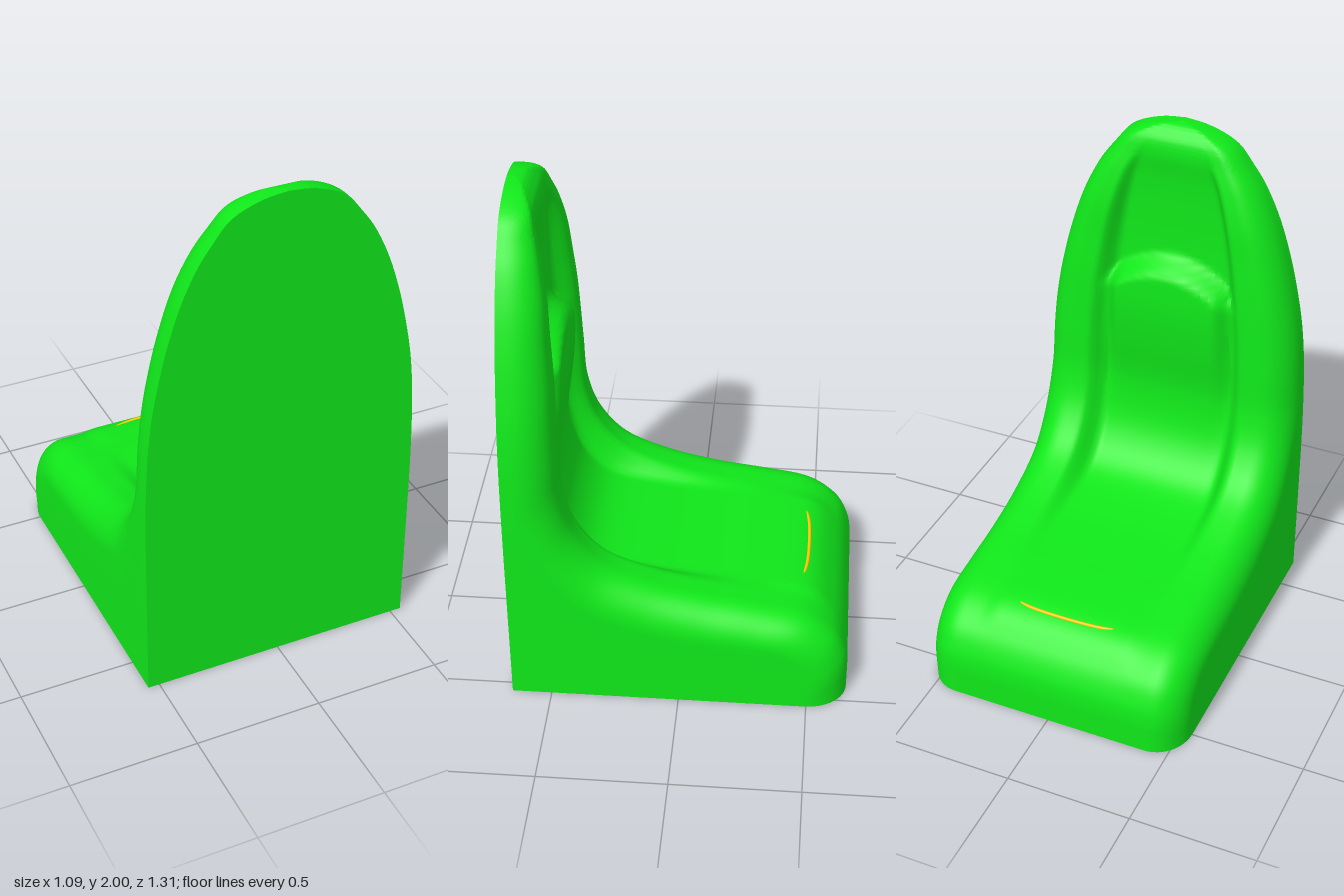
import * as THREE from 'three';
import { toCreasedNormals } from 'three/addons/utils/BufferGeometryUtils.js';

const { smoothstep, lerp, clamp } = THREE.MathUtils;

// Stations from the front lip, over the cushion, up to the top of the backrest:
// front z, front y, rear z, rear y, half width, depth of the central hollow
const STATIONS = [
  [-0.655, 0, -0.4, 0, 0.545, 0],
  [-0.655, 0.12, -0.36, 0, 0.545, 0],
  [-0.64, 0.21, -0.3, 0, 0.545, 0],
  [-0.59, 0.3, -0.22, 0, 0.545, 0],
  [-0.48, 0.375, -0.12, 0, 0.545, -0.012],
  [-0.3, 0.41, 0, 0, 0.545, 0],
  [-0.1, 0.44, 0.15, 0, 0.545, 0.02],
  [0.11, 0.49, 0.35, 0, 0.545, 0.05],
  [0.29, 0.57, 0.655, 0, 0.545, 0.09],
  [0.4, 0.7, 0.655, 0.35, 0.545, 0.1],
  [0.45, 0.86, 0.655, 0.75, 0.543, 0.085],
  [0.46, 1.05, 0.655, 1.02, 0.533, 0.08],
  [0.465, 1.2, 0.655, 1.2, 0.515, 0.08],
  [0.47, 1.35, 0.655, 1.35, 0.487, 0.08],
  [0.48, 1.5, 0.655, 1.5, 0.45, 0.075],
  [0.49, 1.65, 0.655, 1.65, 0.4, 0.065],
  [0.51, 1.78, 0.655, 1.78, 0.338, 0.04],
  [0.53, 1.87, 0.655, 1.87, 0.275, 0.01],
  [0.545, 1.93, 0.655, 1.93, 0.225, 0],
  [0.565, 1.965, 0.655, 1.965, 0.165, 0],
  [0.59, 1.99, 0.655, 1.99, 0.085, 0],
  [0.62, 2, 0.655, 2, 0, 0],
];

const curve = (points) => new THREE.CatmullRomCurve3(points, false, 'catmullrom', 0.5);
const frontCurve = curve(STATIONS.map(([z, y, , , , d]) => new THREE.Vector3(d, y, z)));
const rearCurve = curve(STATIONS.map(([, , z, y, w]) => new THREE.Vector3(w, y, z)));

// Lumbar pad: swells up the backrest and stops at an arched upper edge
function padThickness(x, y) {
  const top = 1.42 - 1.6 * x * x;
  return 0.088 * smoothstep(y, 0.6, 1.3) * (1 - smoothstep(y, top - 0.04, top + 0.04))
    * (1 - smoothstep(Math.abs(x), 0.2, 0.3));
}

// Point on a cross-section; u runs -1..1 from one rear edge over the front to the other
function sectionPoint(front, rear, u) {
  const a = Math.abs(u), w = rear.x;
  const dz = rear.z - front.z, dy = rear.y - front.y;
  const length = Math.hypot(dz, dy);
  const round = Math.min(0.16, 0.75 * length);
  let x, inset;
  if (a <= 0.6) {
    x = (a / 0.6) * 0.75 * w;
    const hollow = front.x * (1 - smoothstep(x, 0.48 * w, 0.63 * w));
    inset = hollow - padThickness(x, front.y);
  } else {
    const angle = Math.min(1, (a - 0.6) / 0.3) * Math.PI / 2;
    x = w * (0.75 + 0.25 * Math.sin(angle));
    inset = round * (1 - Math.cos(angle));
    if (a > 0.9) inset = lerp(round, length, (a - 0.9) / 0.1);
  }
  const k = inset / length;
  return [Math.sign(u) * x, front.y + dy * k, front.z + dz * k];
}

function seatGeometry() {
  const rows = (STATIONS.length - 1) * 8, across = 80, rear = 8;
  const ring = across + rear;
  const positions = [], index = [];
  for (let i = 0; i <= rows; i++) {
    const f = frontCurve.getPoint(i / rows), r = rearCurve.getPoint(i / rows);
    f.z = Math.max(f.z, -0.655);
    f.y = clamp(f.y, 0, 2);
    r.z = Math.min(r.z, 0.655);
    r.y = clamp(r.y, 0, 2);
    r.x = Math.max(r.x, 0);
    for (let j = 0; j <= across; j++) positions.push(...sectionPoint(f, r, j / across * 2 - 1));
    for (let j = 1; j < rear; j++) positions.push(r.x * (1 - 2 * j / rear), r.y, r.z);
  }
  for (let i = 0; i < rows; i++) {
    for (let j = 0; j < ring; j++) {
      const a = i * ring + j, c = i * ring + (j + 1) % ring;
      index.push(a, a + ring, c, c, a + ring, c + ring);
    }
  }
  // underside of the front lip
  for (let j = 1; j < ring - 1; j++) index.push(0, j, j + 1);
  const geometry = new THREE.BufferGeometry();
  geometry.setAttribute('position', new THREE.Float32BufferAttribute(positions, 3));
  geometry.setIndex(index);
  return toCreasedNormals(geometry, 0.8);
}

export function createModel() {
  const group = new THREE.Group();
  group.name = 'bucketSeat';

  // Moulded body: cushion, bolsters and backrest in one skin
  const body = new THREE.Mesh(seatGeometry(), new THREE.MeshStandardMaterial({ color: 0x10e81a }));
  body.name = 'seatBody';
  group.add(body);

  // Thin coloured piping along the front of the cushion
  const path = new THREE.CatmullRomCurve3([
    [-0.235, 0.382, -0.457], [-0.15, 0.385, -0.478], [0, 0.385, -0.485],
    [0.15, 0.385, -0.478], [0.235, 0.382, -0.457],
  ].map((p) => new THREE.Vector3(...p)));
  const piping = new THREE.Mesh(
    new THREE.TubeGeometry(path, 32, 0.007, 8),
    new THREE.MeshStandardMaterial({ color: 0xffcc00 }),
  );
  piping.name = 'cushionPiping';
  group.add(piping);

  return group;
}
